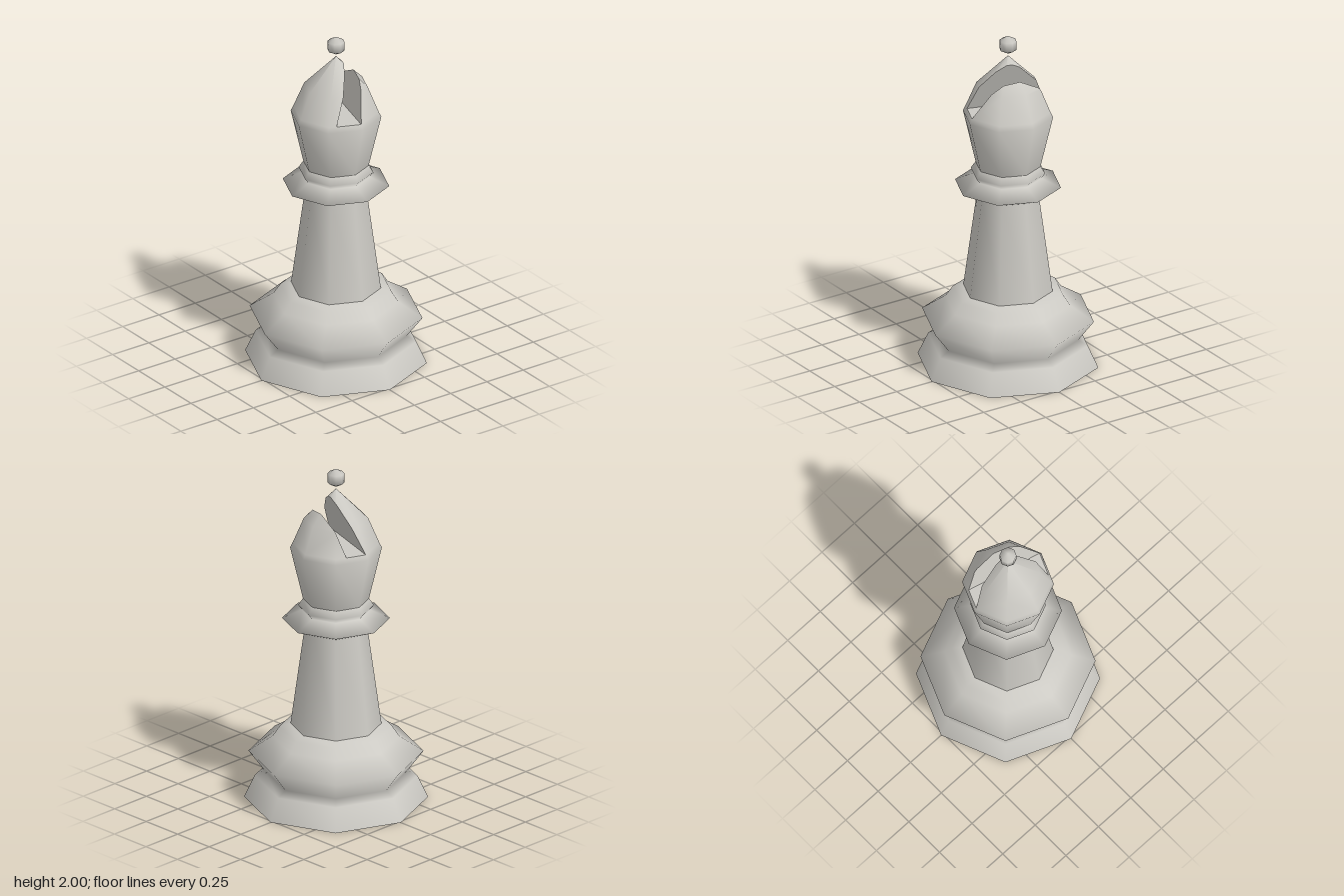
import * as THREE from 'three';
import { toCreasedNormals } from 'three/addons/utils/BufferGeometryUtils.js';
import { ConvexGeometry } from 'three/addons/geometries/ConvexGeometry.js';

const SIDES = 8;
const FLOOR_Y = 1.55, FLOOR_R = 0.2425; // bottom of the slot in the head

const v = (x, y, z) => new THREE.Vector3(x, y, z);
const lathe = (profile) =>
  new THREE.LatheGeometry(profile.map(([r, y]) => new THREE.Vector2(r, y)), SIDES);

// Octagonal ring of points with corners on the axes
function ring(r, y) {
  return Array.from({ length: SIDES }, (_, i) => {
    const a = (i / SIDES) * Math.PI * 2;
    return v(r * Math.sin(a), y, r * Math.cos(a));
  });
}

// Triangles of the pointed dome on one side of a plane, without its underside
function lobeTriangles(plane) {
  const low = ring(FLOOR_R, FLOOR_Y), high = ring(0.18, 1.7), tip = v(0, 1.88, 0);
  const points = [...low, ...high, tip].filter((p) => plane.distanceToPoint(p) >= 0);
  for (let i = 0; i < SIDES; i++) {
    const j = (i + 1) % SIDES;
    const edges = [[low[i], low[j]], [high[i], high[j]], [low[i], high[i]], [high[i], tip]];
    for (const [a, b] of edges) {
      const hit = plane.intersectLine(new THREE.Line3(a, b), v(0, 0, 0));
      if (hit) points.push(hit);
    }
  }
  const pos = new ConvexGeometry(points).attributes.position.array;
  const out = [];
  for (let i = 0; i < pos.length; i += 9) {
    const t = Array.from(pos.slice(i, i + 9));
    if (Math.max(t[1], t[4], t[7]) > FLOOR_Y + 0.001) out.push(...t);
  }
  return out;
}

// Plane through three points, facing the given point
function planeFacing(a, b, c, target) {
  const plane = new THREE.Plane().setFromCoplanarPoints(a, b, c);
  return plane.distanceToPoint(target) < 0 ? plane.negate() : plane;
}

export function createModel() {
  const stone = new THREE.MeshStandardMaterial({ color: 0xcccac4 });
  stone.name = 'stone grey';
  const group = new THREE.Group();
  group.name = 'bishopChessPiece';
  const add = (name, geometry) => {
    const mesh = new THREE.Mesh(geometry, stone);
    mesh.name = name;
    group.add(mesh);
    return mesh;
  };

  // Stepped foot and its flat underside
  add('foot', lathe([[0.515, 0], [0.455, 0.13], [0.4, 0.16], [0.49, 0.28],
    [0.355, 0.37], [0.315, 0.43], [0.25, 0.45]]));
  add('underside', new THREE.CircleGeometry(0.515, SIDES).rotateX(Math.PI / 2));

  // Tapered shaft and double collar
  add('shaft', lathe([[0.255, 0.445], [0.175, 1.04]]));
  add('collar', lathe([[0.17, 1.03], [0.302, 1.09], [0.19, 1.14], [0.212, 1.17], [0.185, 1.21]]));

  // Head: flared lower part with two lobes either side of a slanted slot
  const lower = lathe([[0.185, 1.21], [0.257, 1.52], [FLOOR_R, FLOOR_Y]]).toNonIndexed();
  const rightWall = planeFacing(v(-0.12, 1.575, 0.185), v(0, 1.54, -0.24),
    v(0.055, 1.83, -0.05), v(-1, 1.6, 0));
  const leftWall = planeFacing(v(0, 1.56, 0.25), v(0.11, 1.53, -0.21),
    v(0.12, 1.765, 0), v(1, 1.6, 0));
  const head = new THREE.BufferGeometry();
  head.setAttribute('position', new THREE.Float32BufferAttribute([
    ...lower.attributes.position.array,
    ...lobeTriangles(rightWall),
    ...lobeTriangles(leftWall),
  ], 3));
  add('head', toCreasedNormals(head, Math.PI / 3));
  add('slotFloor', new THREE.CircleGeometry(FLOOR_R, SIDES).rotateX(-Math.PI / 2))
    .position.y = FLOOR_Y;

  // Small ball on top
  add('finial', new THREE.SphereGeometry(0.055, SIDES, 3)).position.y = 1.945;

  return group;
}
